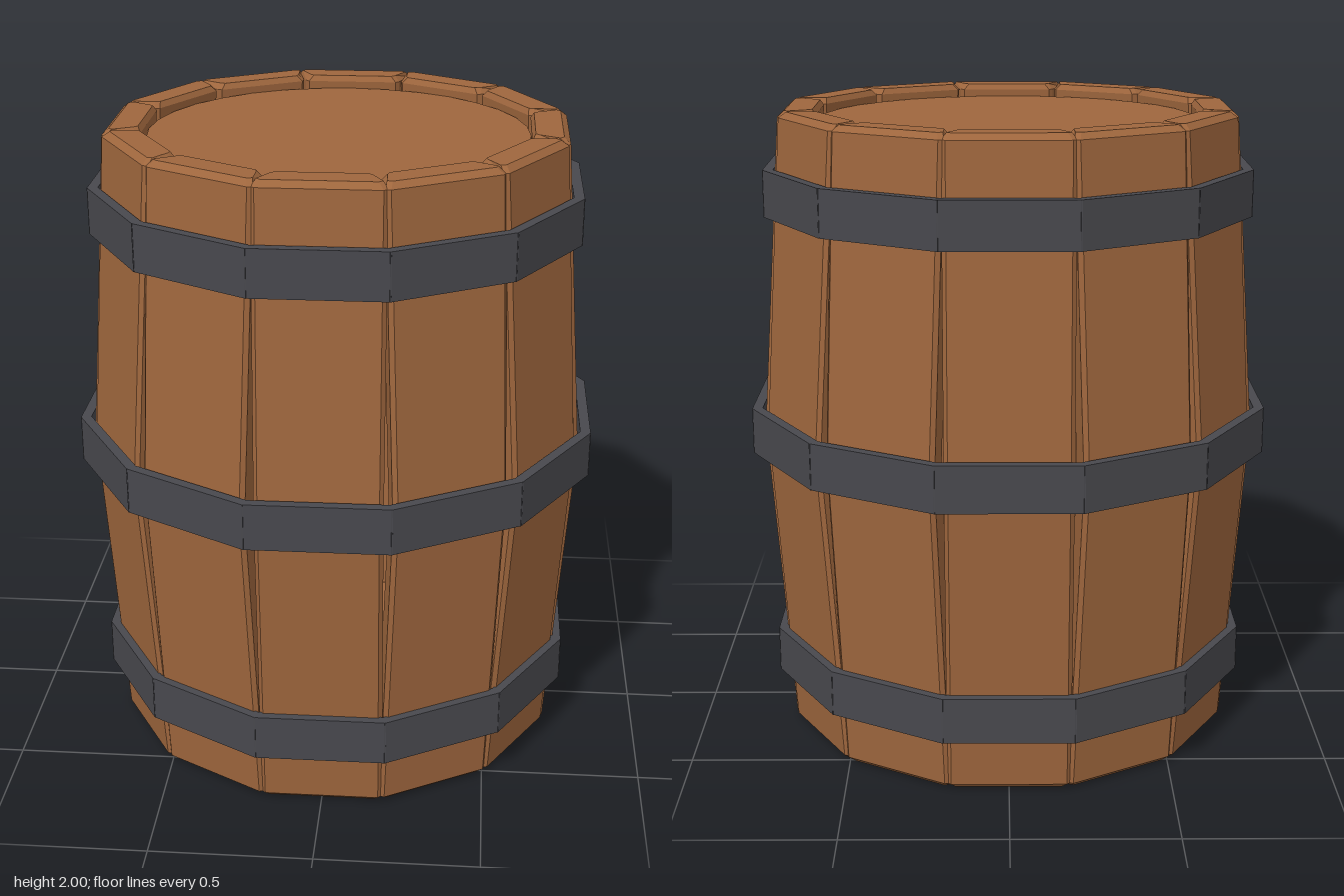
import * as THREE from 'three';

const SIDES = 12;
const TAN = Math.tan(Math.PI / SIDES);

// One stave: chamfered wedge sections stacked in y, pushed outward at the belly.
function staveGeometry() {
  const half = 0.189, thick = 0.113, c = 0.012;
  const section = (y, r, inset) => {
    const zo = r - inset, zi = r - thick + inset;
    const wo = half - inset, wi = 0.157 - inset;
    return [
      [wo - c, zo], [wo, zo - c], [wi, zi + c], [wi - c, zi],
      [-wi + c, zi], [-wi, zi + c], [-wo, zo - c], [-wo + c, zo],
    ].flatMap(([x, z]) => [x, y, z]);
  };
  const rows = [[0, 0.695, 0.015], [0.018, 0.7, 0], [1, 0.77, 0], [1.982, 0.7, 0], [2, 0.695, 0.015]];
  const n = 8, index = [];
  for (let r = 0; r < rows.length - 1; r++) {
    for (let i = 0; i < n; i++) {
      const a = r * n + i, b = r * n + (i + 1) % n;
      index.push(a, a + n, b, b, a + n, b + n);
    }
  }
  // End caps
  const top = (rows.length - 1) * n;
  for (let i = 1; i < n - 1; i++) {
    index.push(0, i, i + 1, top, top + i + 1, top + i);
  }
  const g = new THREE.BufferGeometry();
  g.setAttribute('position', new THREE.Float32BufferAttribute(rows.flatMap((r) => section(...r)), 3));
  g.setIndex(index);
  const flat = g.toNonIndexed();
  flat.computeVertexNormals();
  return flat;
}

export function createModel() {
  const barrel = new THREE.Group();
  barrel.name = 'barrel';
  const wood = new THREE.MeshStandardMaterial({ color: 0x9e663d, flatShading: true, side: THREE.DoubleSide });
  const iron = new THREE.MeshStandardMaterial({ color: 0x48484d, flatShading: true });

  const add = (parent, name, geometry, material) => {
    const mesh = new THREE.Mesh(geometry, material);
    mesh.name = name;
    parent.add(mesh);
    return mesh;
  };

  // Staves
  const staves = new THREE.Group();
  staves.name = 'staves';
  barrel.add(staves);
  const stave = staveGeometry();
  for (let i = 0; i < SIDES; i++) {
    add(staves, 'stave', stave, wood).rotation.y = (i / SIDES) * Math.PI * 2;
  }

  // Iron hoops, each made of twelve straight bands
  for (const [y, r] of [[0.252, 0.748], [1.002, 0.805], [1.752, 0.748]]) {
    const hoop = new THREE.Group();
    hoop.name = 'hoop';
    hoop.position.y = y;
    barrel.add(hoop);
    const t = 0.032;
    const band = new THREE.BoxGeometry(2 * r * TAN + 0.004, 0.145, t).translate(0, 0, r - t / 2);
    for (let i = 0; i < SIDES; i++) {
      add(hoop, 'hoopBand', band, iron).rotation.y = (i / SIDES) * Math.PI * 2;
    }
  }

  // Recessed lids
  const lid = new THREE.CylinderGeometry(0.588, 0.588, 0.05, 32);
  add(barrel, 'topLid', lid, wood).position.y = 1.935;
  add(barrel, 'bottomLid', lid, wood).position.y = 0.065;

  // Small square plug under the base
  add(barrel, 'plug', new THREE.BoxGeometry(0.14, 0.05, 0.14), iron).position.y = 0.035;

  return barrel;
}
